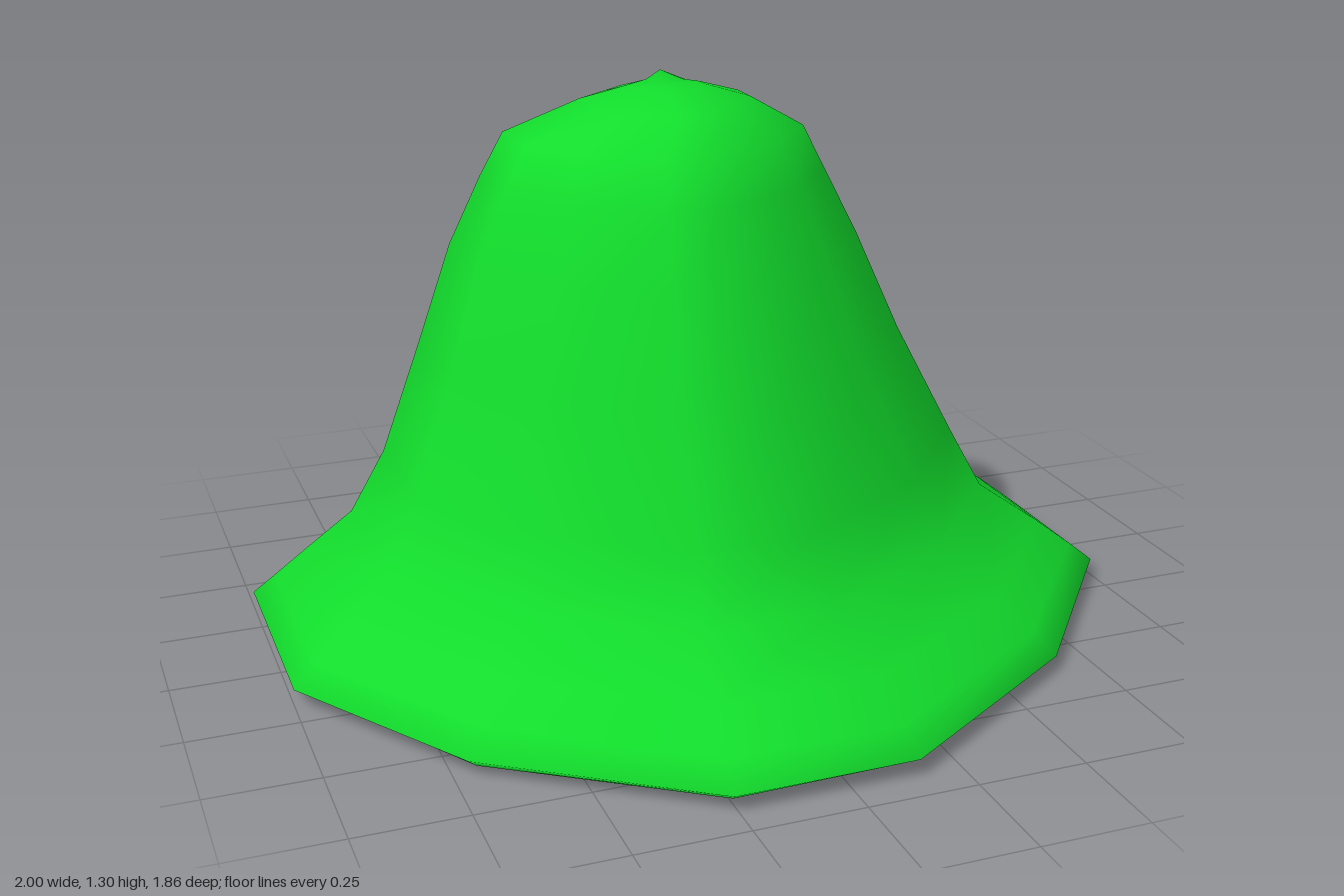
import * as THREE from 'three';
import { mergeVertices } from 'three/addons/utils/BufferGeometryUtils.js';

// Irregular brim outline (x, z), clockwise seen from above, scaled to a half-width of 1
const OUTLINE = [
  [-0.26, -1], [0.15, -1], [0.67, -0.72], [1, -0.22], [1, 0.19], [0.65, 0.66],
  [0.15, 1], [-0.26, 1], [-0.72, 0.65], [-1, 0.19], [-1, -0.39], [-0.65, -0.68],
];

// How far each corner of the lower lip sags
const SAG = [0.01, 0.018, 0.025, 0, 0.005, 0.01, 0.003, 0.008, 0.012, 0, 0, 0.005];

// Cross-sections from underside to tip: y, left and right x, back and front z, sag amount
const SECTIONS = [
  [0.06, 0, 0, 0, 0, 0],
  [0.055, -0.88, 0.88, -0.82, 0.82, 0],
  [0.025, -0.97, 0.97, -0.9, 0.9, 1],
  [0.042, -1, 1, -0.93, 0.93, 0.4],
  [0.09, -0.95, 0.94, -0.87, 0.87, 0],
  [0.16, -0.88, 0.85, -0.78, 0.78, 0],
  [0.26, -0.77, 0.71, -0.66, 0.64, 0],
  [0.41, -0.69, 0.63, -0.6, 0.57, 0],
  [0.68, -0.6, 0.49, -0.52, 0.48, 0],
  [0.92, -0.53, 0.38, -0.42, 0.4, 0],
  [1.08, -0.46, 0.3, -0.35, 0.33, 0],
  [1.18, -0.41, 0.25, -0.3, 0.28, 0],
  [1.25, -0.24, 0.13, -0.2, 0.17, 0],
  [1.28, -0.14, 0.03, -0.1, 0.06, 0],
  [1.285, -0.06, -0.06, -0.03, -0.03, 0],
];

function loft(sections) {
  const n = OUTLINE.length;
  const positions = [];
  const index = [];
  sections.forEach(([y, x0, x1, z0, z1, sag], s) => {
    OUTLINE.forEach(([u, v], i) => {
      positions.push(
        (x0 + x1) / 2 + (u * (x1 - x0)) / 2,
        y - SAG[i] * sag,
        (z0 + z1) / 2 + (v * (z1 - z0)) / 2,
      );
      if (s === 0) return;
      const j = (i + 1) % n;
      const a = (s - 1) * n + i, b = (s - 1) * n + j;
      const c = s * n + i, d = s * n + j;
      if (s > 1) index.push(a, c, b); // the first section is a single point
      else index.push(a, c, d);
      if (s > 1 && s < sections.length - 1) index.push(b, c, d);
    });
  });
  // Small raised peak at the back of the crown's top
  const peak = (sections.length - 2) * n + 1;
  positions[peak * 3 + 1] = 1.3;
  const geometry = new THREE.BufferGeometry();
  geometry.setAttribute('position', new THREE.Float32BufferAttribute(positions, 3));
  geometry.setIndex(index);
  const merged = mergeVertices(geometry, 1e-4);
  merged.computeVertexNormals();
  return merged;
}

export function createModel() {
  const group = new THREE.Group();
  group.name = 'feltHat';
  // Crown, flared brim and shallow underside in one soft surface
  const hat = new THREE.Mesh(
    loft(SECTIONS),
    new THREE.MeshStandardMaterial({ color: 0x12dd2c, side: THREE.DoubleSide }),
  );
  hat.name = 'crownAndBrim';
  group.add(hat);
  return group;
}
